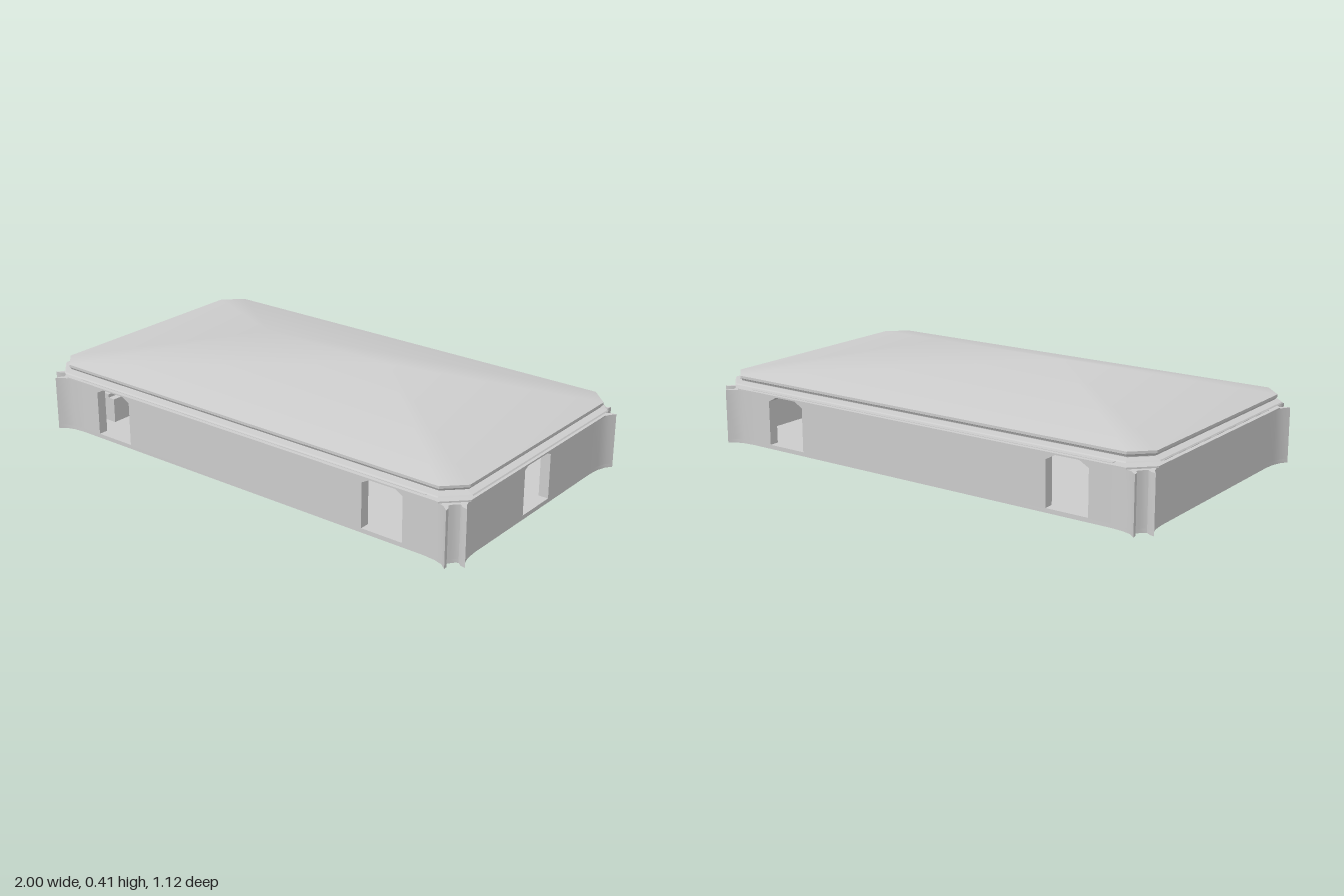
import * as THREE from 'three';
import { mergeVertices, toCreasedNormals } from 'three/addons/utils/BufferGeometryUtils.js';

const FLOOR = 0.015;
const grey = (opts = {}) => new THREE.MeshStandardMaterial({ color: 0xcccccc, ...opts });

function add(parent, name, geometry, material = grey()) {
  const mesh = new THREE.Mesh(geometry, material);
  mesh.name = name;
  parent.add(mesh);
  return mesh;
}

// Chamfered rectangle, counterclockwise from above, as [x, z] pairs
function octagon(hx, hz, c) {
  const x = hx - c, z = hz - c;
  return [[hx, z], [hx, -z], [x, -hz], [-x, -hz], [-hx, -z], [-hx, z], [-x, hz], [x, hz]];
}

// Skin over a stack of rings, each { y, pts }, with optional end caps
function loft(rings, capped) {
  const n = rings[0].pts.length, pos = [], idx = [];
  for (const { y, pts } of rings) for (const [x, z] of pts) pos.push(x, y, z);
  for (let r = 0; r < rings.length - 1; r++) {
    for (let i = 0; i < n; i++) {
      const a = r * n + i, b = r * n + (i + 1) % n;
      idx.push(a, b, b + n, a, b + n, a + n);
    }
  }
  if (capped) {
    const t = (rings.length - 1) * n;
    for (let i = 1; i < n - 1; i++) idx.push(0, i + 1, i, t, t + i, t + i + 1);
  }
  const geo = new THREE.BufferGeometry();
  geo.setAttribute('position', new THREE.Float32BufferAttribute(pos, 3));
  geo.setIndex(idx);
  return geo;
}

// Upright prism from a plan of [x, z] points
function prism(plan, y0, y1) {
  const shape = new THREE.Shape(plan.map(([x, z]) => new THREE.Vector2(x, -z)));
  const geo = new THREE.ExtrudeGeometry(shape, { depth: y1 - y0, bevelEnabled: false });
  geo.rotateX(-Math.PI / 2).translate(0, y0, 0);
  return toCreasedNormals(geo, 0.5);
}

// Flat wall with arched doorways, outer face at local z = 0
function wallPanel(half, doors) {
  const v = (x, y) => new THREE.Vector2(x, y);
  const top = 0.23, d = 0.088;
  const shape = new THREE.Shape([v(-half, FLOOR), v(half, FLOOR), v(half, top), v(-half, top)]);
  for (const x of doors) {
    shape.holes.push(new THREE.Path([
      v(x - d, FLOOR + 0.002), v(x - d, 0.195), v(x - 0.05, 0.216), v(x - 0.025, 0.222),
      v(x + 0.025, 0.222), v(x + 0.05, 0.216), v(x + d, 0.195), v(x + d, FLOOR + 0.002),
    ]));
  }
  return new THREE.ExtrudeGeometry(shape, { depth: 0.04, bevelEnabled: false }).translate(0, 0, -0.04);
}

export function createModel() {
  const model = new THREE.Group();
  model.name = 'pavilion';

  // Outer plan of one corner: flared ear, notch, flared ear
  const corner = [
    [0.84, 0.525], [0.89, 0.53], [0.925, 0.541], [0.95, 0.562], [0.948, 0.545], [0.935, 0.527],
    [0.943, 0.515], [0.952, 0.503], [0.963, 0.495], [0.98, 0.508], [1.0, 0.512],
    [0.982, 0.487], [0.97, 0.45], [0.965, 0.40],
  ];
  const flip = (pts, sx, sz) => pts.map(([x, z]) => [x * sx, z * sz]);

  // Floor slab follows the whole outline
  const outline = [
    ...flip(corner, 1, 1), ...flip(corner, 1, -1).reverse(),
    ...flip(corner, -1, -1), ...flip(corner, -1, 1).reverse(),
  ];
  add(model, 'floor', prism(outline, 0, FLOOR));

  // Corner piers
  const pier = [...corner, [0.925, 0.40], [0.925, 0.485], [0.84, 0.485]];
  for (const sx of [-1, 1]) for (const sz of [-1, 1]) {
    add(model, 'cornerPier', prism(flip(pier, sx, sz), FLOOR, 0.22));
  }

  // Walls: two doorways front and back, one in the left end
  const walls = [
    ['frontWall', 0.84, [-0.66, 0.66], 0, 0.525],
    ['backWall', 0.84, [-0.66, 0.66], Math.PI, 0.525],
    ['leftWall', 0.40, [0], Math.PI / 2, 0.965],
    ['rightWall', 0.40, [], -Math.PI / 2, 0.965],
  ];
  for (const [name, half, doors, angle, dist] of walls) {
    const wall = add(model, name, wallPanel(half, doors));
    wall.rotation.y = angle;
    wall.position.set(Math.sin(angle) * dist, 0, Math.cos(angle) * dist);
  }

  // Stepped stand with a leaning hood inside the blank end
  const stand = new THREE.Shape([
    [-0.925, FLOOR], [-0.79, FLOOR], [-0.79, 0.115], [-0.82, 0.115], [-0.82, 0.13],
    [-0.87, 0.13], [-0.87, 0.16], [-0.80, 0.222], [-0.925, 0.222],
  ].map(([x, y]) => new THREE.Vector2(x, y)));
  add(model, 'innerStand',
    new THREE.ExtrudeGeometry(stand, { depth: 0.8, bevelEnabled: false }).translate(0, 0, -0.4));

  // Entablature and cornice: [height, offset from the eaves]
  const profile = [
    [0.222, 0.01], [0.228, 0.01], [0.23, -0.05], [0.238, -0.06], [0.243, 0],
    [0.247, 0.019], [0.251, 0.015], [0.254, -0.02], [0.258, -0.02], [0.26, -0.008],
    [0.268, -0.003], [0.27, 0], [0.28, 0],
  ];
  const rings = profile.map(([y, d]) => ({ y, pts: octagon(0.972 + d, 0.53 + d, 0.075 + d * 0.5) }));
  add(model, 'cornice', loft(rings, true), grey({ flatShading: true }));

  // Hipped roof, its corners closing onto a short ridge
  const eaves = octagon(0.972, 0.53, 0.075);
  const ridge = eaves.map(([x]) => [Math.sign(x) * 0.295, 0]);
  const roof = mergeVertices(loft([{ y: 0.28, pts: eaves }, { y: 0.41, pts: ridge }], false));
  roof.computeVertexNormals();
  add(model, 'roof', roof);

  return model;
}
